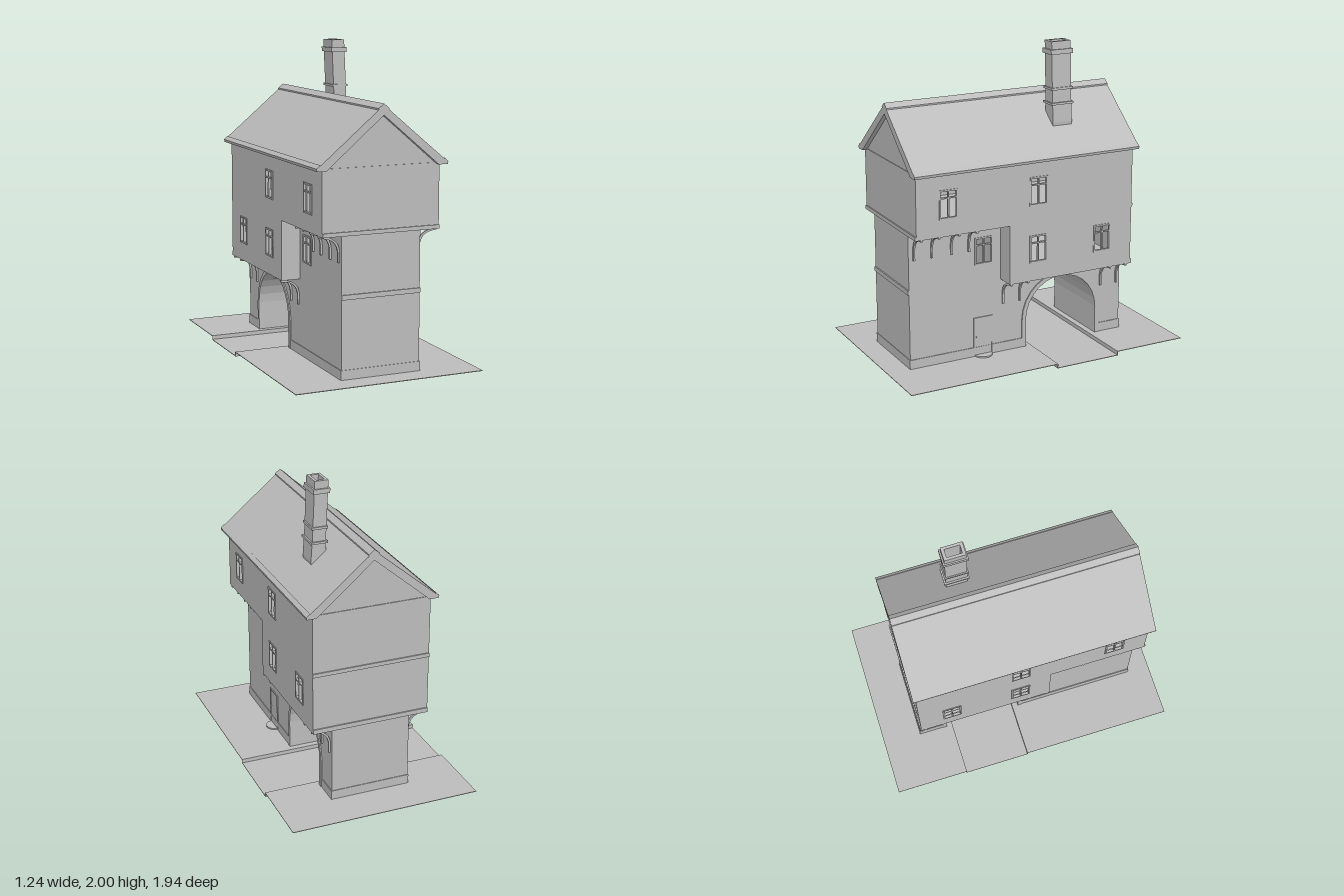
import * as THREE from 'three';

export function createModel() {
  const model = new THREE.Group();
  model.name = 'gatehouse';
  const plaster = new THREE.MeshStandardMaterial({ color: 0xbcbcbc, side: THREE.DoubleSide });
  plaster.name = 'plainGrey';

  const add = (geo, name) => {
    const m = new THREE.Mesh(geo, plaster);
    m.name = name;
    model.add(m);
    return m;
  };
  // Box given by its limits
  const box = (name, x0, x1, y0, y1, z0, z1) =>
    add(new THREE.BoxGeometry(x1 - x0, y1 - y0, z1 - z0)
      .translate((x0 + x1) / 2, (y0 + y1) / 2, (z0 + z1) / 2), name);
  const poly = (pts) => new THREE.Shape(pts.map(([a, b]) => new THREE.Vector2(a, b)));
  const rect = (a, b, c, d) => poly([[a, c], [b, c], [b, d], [a, d]]);
  const extrude = (shape, depth) =>
    new THREE.ExtrudeGeometry(shape, { depth, bevelEnabled: false, curveSegments: 12 });
  // Profile in (-z, y) pushed along x
  const alongX = (name, shape, x0, x1) =>
    add(extrude(shape, x1 - x0).rotateY(Math.PI / 2).translate(x0, 0, 0), name);
  // Profile in (x, y) pushed along z
  const alongZ = (name, shape, z0, z1) =>
    add(extrude(shape, z1 - z0).translate(0, 0, z0), name);
  // The same profile on the left and right walls
  const bothSides = (name, shape, a, b) => {
    alongX(name, shape, a, b);
    alongX(name, shape, -b, -a);
  };

  const front = 0.815, back = -0.71, split = 0.18, narrow = 0.26, wide = 0.385;
  const base = 0.03, floor1 = 0.52, floor2 = 0.905, eave = 1.31;

  // Ground: two raised pads with a sunken road between them
  const top = [[-0.97, 0.03], [0.04, 0.03], [0.04, 0.004], [0.48, 0.004], [0.48, 0.03], [0.97, 0.03]];
  const under = top.map(([a, b]) => [a, b - 0.004]).reverse();
  under[1][0] += 0.004; under[2][0] += 0.004;
  under[3][0] -= 0.004; under[4][0] -= 0.004;
  alongX('ground', poly([...top, ...under]), -0.62, 0.62);

  // Lower storey pierced by the arched passage
  const archPoints = (r) => {
    const pts = [[0.26 - r, 0.005]];
    for (let i = 0; i <= 14; i++) {
      const a = Math.PI * (1 - i / 14);
      pts.push([0.26 + r * Math.cos(a), 0.215 + r * Math.sin(a)]);
    }
    pts.push([0.26 + r, 0.005]);
    return pts;
  };
  alongX('lowerStorey', poly([[-front, 0.005], ...archPoints(0.26),
    [-back, 0.005], [-back, floor1], [-front, floor1]]), -narrow, narrow);
  bothSides('archSurround',
    poly([...archPoints(0.287), ...archPoints(0.26).reverse()]), narrow - 0.01, narrow + 0.008);

  // Plinths either side of the passage
  box('plinth', -0.265, 0.265, base, 0.09, 0.028, front + 0.004);
  box('plinth', -0.265, 0.265, base, 0.09, back - 0.004, -0.548);

  // Side walls with window openings
  const windows = [
    [0.6, 1.015, 1.2, wide], [-0.022, 1.015, 1.2, wide],
    [-0.022, 0.64, 0.82, wide], [-0.49, 0.64, 0.82, wide], [0.3, 0.64, 0.82, narrow],
  ];
  const W = 0.0625;
  const sideWall = (name, zMin, zMax, y0, y1, x) => {
    const s = rect(-zMax, -zMin, y0, y1);
    for (const [z, b, t, wx] of windows) {
      if (wx === x && b > y0 && t < y1) s.holes.push(rect(-z - W, -z + W, b, t));
    }
    bothSides(name, s, x - 0.02, x);
  };
  sideWall('recessedWall', split, front, floor1, floor2, narrow);
  sideWall('middleWall', back, split, floor1, floor2, wide);
  sideWall('upperWall', back, front, floor2, eave, wide);

  // Window frames with a mullion and a transom
  for (const [z, b, t, x] of windows) {
    const f = 0.01, bar = b + (t - b) * 0.72;
    const s = rect(-z - W, -z + W, b, t);
    for (const [l, r] of [[-W + f, -0.004], [0.004, W - f]]) {
      s.holes.push(rect(-z + l, -z + r, b + f, bar - 0.004));
      s.holes.push(rect(-z + l, -z + r, bar + 0.004, t - f));
    }
    bothSides('windowFrame', s, x - 0.012, x + 0.005);
  }

  // End walls, floors and the jetty face
  box('recessedFrontWall', -narrow, narrow, floor1, floor2, front - 0.02, front);
  box('jettyFrontWall', -wide, wide, floor1, floor2, split - 0.02, split);
  box('middleBackWall', -wide, wide, floor1, floor2, back, back + 0.02);
  box('upperFrontWall', -wide, wide, floor2, eave, front - 0.02, front);
  box('upperBackWall', -wide, wide, floor2, eave, back, back + 0.02);
  box('middleFloor', -wide, wide, floor1, floor1 + 0.02, back, split);
  box('upperFloor', -wide, wide, floor2, floor2 + 0.02, back, front);

  // Beam bands across the end walls
  box('frontBand', -narrow, narrow, floor1, 0.55, front, front + 0.008);
  box('frontBand', -wide, wide, floor2, 0.93, front, front + 0.008);
  box('backBand', -wide, wide, floor1, 0.55, back - 0.008, back);
  box('backBand', -wide, wide, floor2, 0.93, back - 0.008, back);

  // Curved brackets carrying the overhangs
  const bracket = (side, z, y) => {
    const s = new THREE.Shape();
    s.moveTo(narrow, y - 0.165);
    s.lineTo(narrow + 0.012, y - 0.165);
    s.lineTo(narrow + 0.012, y - 0.1);
    s.quadraticCurveTo(narrow + 0.02, y - 0.014, wide, y - 0.012);
    s.lineTo(wide, y);
    s.quadraticCurveTo(narrow + 0.004, y - 0.004, narrow, y - 0.1);
    const m = alongZ('bracket', poly(s.getPoints(8).map((p) => [p.x * side, p.y])), -0.006, 0.006);
    m.position.z = z;
  };
  for (const side of [1, -1]) {
    for (const z of [0.78, 0.66, 0.525, 0.405]) bracket(side, z, floor2);
    for (const z of [0.165, 0.045, -0.56, -0.68]) bracket(side, z, floor1);
  }

  // Gable infill, roof slopes, ridge cap and eave boards
  alongZ('gable', poly([[-wide, 1.3], [wide, 1.3], [0, 1.625]]), back + 0.005, front - 0.005);
  alongZ('roof', poly([[-0.42, 1.322], [-0.41, 1.3], [-0.368, 1.3], [0, 1.612],
    [0.368, 1.3], [0.41, 1.3], [0.42, 1.322], [0, 1.672]]), -0.73, 0.84);
  alongZ('ridgeCap', poly([[-0.035, 1.642], [0, 1.668], [0.035, 1.642],
    [0.035, 1.652], [0, 1.68], [-0.035, 1.652]]), -0.73, 0.84);
  for (const s of [1, -1]) {
    alongZ('eaveBoard', poly([[0.408 * s, 1.3], [0.428 * s, 1.3],
      [0.432 * s, 1.317], [0.408 * s, 1.338]]), -0.73, 0.84);
  }

  // Door, handle and rounded doorstep on the left wall
  const doorFrame = rect(-0.375, -0.24, base, 0.29);
  doorFrame.holes.push(rect(-0.367, -0.248, base + 0.002, 0.282));
  alongX('doorFrame', doorFrame, narrow, 0.267);
  box('door', narrow, 0.263, base, 0.284, 0.246, 0.369);
  add(new THREE.SphereGeometry(0.005, 8, 6).translate(0.267, 0.16, 0.357), 'doorHandle');
  add(new THREE.CylinderGeometry(0.06, 0.06, 0.01, 16, 1, false, 0, Math.PI)
    .translate(narrow, base + 0.004, 0.307), 'doorstep');

  // Leaning hollow chimney: each ring is sheared by the same lean
  const ring = (name, y0, y1, grow) => {
    const s = rect(-0.044 - grow, 0.044 + grow, -0.068 - grow, 0.068 + grow);
    s.holes.push(rect(-0.026, 0.026, -0.048, 0.048));
    const g = extrude(s, y1 - y0).rotateX(-Math.PI / 2).translate(0, y0, -0.27);
    const p = g.attributes.position;
    for (let i = 0; i < p.count; i++) p.setX(i, p.getX(i) + 0.192 - 0.045 * (p.getY(i) - 1.6));
    g.computeVertexNormals();
    add(g, name);
  };
  ring('chimneyShaft', 1.56, 2.0, 0);
  ring('chimneyBand', 1.92, 1.95, 0.01);
  ring('chimneyBand', 1.695, 1.71, 0.008);
  ring('chimneyBand', 1.602, 1.616, 0.011);
  alongZ('chimneyFoot', poly([[0.145, 1.545], [0.243, 1.465], [0.245, 1.49],
    [0.237, 1.605], [0.15, 1.605]]), -0.338, -0.202);

  return model;
}
